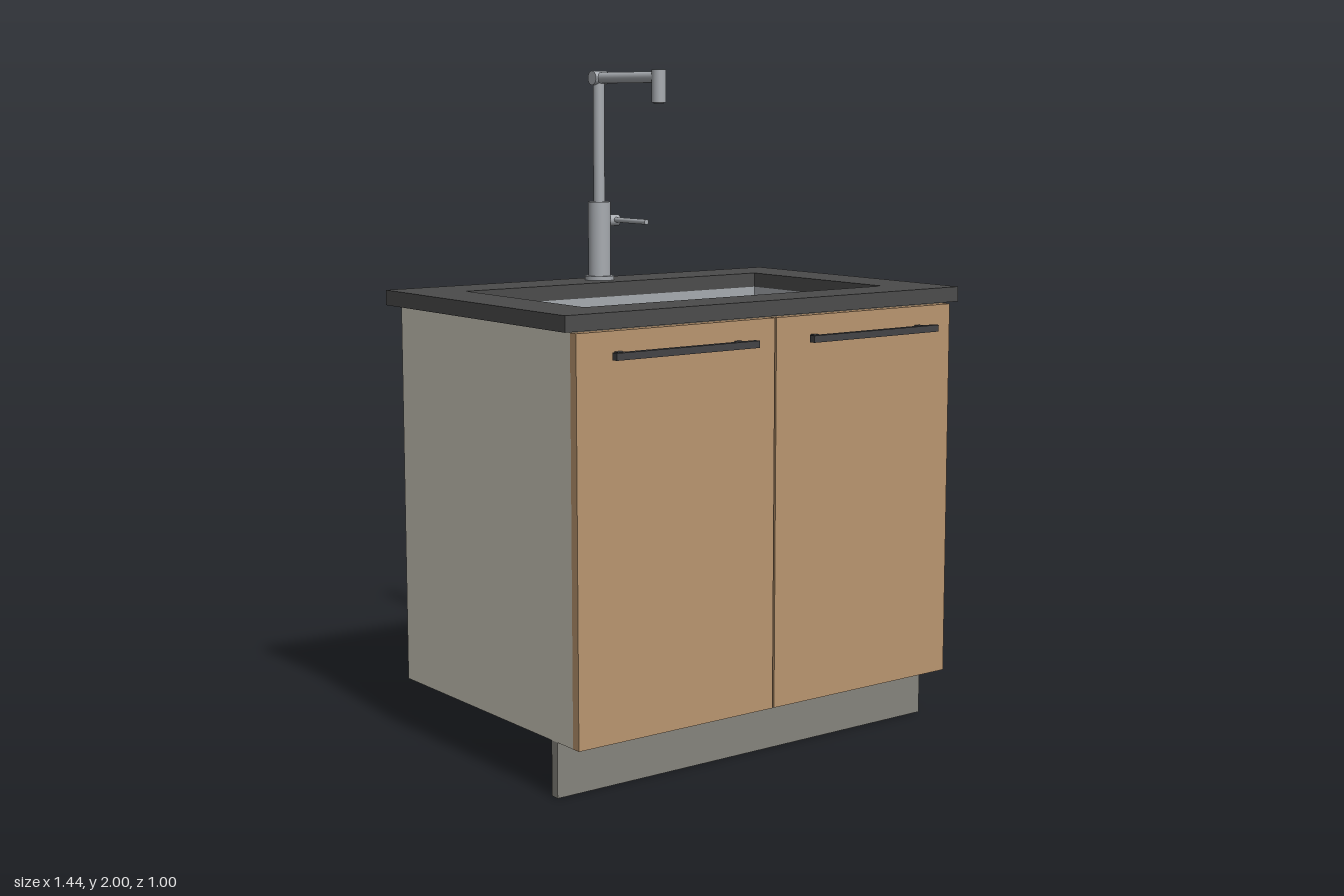
import * as THREE from 'three';

const material = (name, color) => {
  const m = new THREE.MeshStandardMaterial({ color });
  m.name = name;
  return m;
};

export function createModel() {
  const group = new THREE.Group();
  const wood = material('wood', 0xb9956f);
  const cabinet = material('cabinet cream', 0xcdc9bc);
  const grey = material('warm grey', 0x85837c);
  const dark = material('dark worktop', 0x4b4b4b);
  const handleDark = material('handle charcoal', 0x434345);
  const steel = material('steel', 0xa6aaaf);

  const add = (parent, name, geometry, mat, x = 0, y = 0, z = 0) => {
    const mesh = new THREE.Mesh(geometry, mat);
    mesh.name = name;
    mesh.position.set(x, y, z);
    parent.add(mesh);
    return mesh;
  };
  // Box given by its limits on each axis
  const box = (parent, name, mat, x0, x1, y0, y1, z0, z1) =>
    add(parent, name, new THREE.BoxGeometry(x1 - x0, y1 - y0, z1 - z0), mat,
      (x0 + x1) / 2, (y0 + y1) / 2, (z0 + z1) / 2);
  // Rectangular frame lying flat; outer and inner are [half width, back z, front z]
  const frame = (parent, name, mat, outer, inner, y0, y1) => {
    const corners = ([w, b, f]) => [[-w, b], [w, b], [w, f], [-w, f]].map(p => new THREE.Vector2(...p));
    const shape = new THREE.Shape(corners(outer));
    shape.holes.push(new THREE.Path(corners(inner)));
    const geometry = new THREE.ExtrudeGeometry(shape, { depth: y1 - y0, bevelEnabled: false });
    geometry.rotateX(Math.PI / 2);
    return add(parent, name, geometry, mat, 0, y1, 0);
  };
  // Cylinder between two points
  const rod = (parent, name, mat, radius, from, to, sides = 24) => {
    const a = new THREE.Vector3(...from), b = new THREE.Vector3(...to);
    const dir = b.clone().sub(a);
    const mesh = add(parent, name, new THREE.CylinderGeometry(radius, radius, dir.length(), sides), mat);
    mesh.position.copy(a).add(b).multiplyScalar(0.5);
    mesh.quaternion.setFromUnitVectors(new THREE.Vector3(0, 1, 0), dir.normalize());
    return mesh;
  };

  // Cabinet body, open at the top for the basin
  frame(group, 'cabinetWalls', cabinet, [0.685, -0.47, 0.42], [0.665, -0.45, 0.4], 0.16, 1.305);
  box(group, 'cabinetFloor', cabinet, -0.665, 0.665, 0.16, 0.18, -0.45, 0.4);
  box(group, 'plinth', grey, -0.685, 0.685, 0, 0.16, 0.315, 0.343);

  // Doors with bar handles
  for (const s of [-1, 1]) {
    const door = new THREE.Group();
    door.name = s > 0 ? 'leftDoor' : 'rightDoor';
    group.add(door);
    const span = (a, b) => s > 0 ? [a, b] : [-b, -a];
    box(door, 'doorPanel', wood, ...span(0.003, 0.685), 0.16, 1.3, 0.42, 0.448);
    box(door, 'handleBar', handleDark, ...span(0.1, 0.59), 1.226, 1.246, 0.48, 0.5);
    for (const x of [0.14, 0.55])
      box(door, 'handlePost', handleDark, ...span(x - 0.01, x + 0.01), 1.228, 1.244, 0.448, 0.48);
  }

  // Worktop with the sink cut-out
  const opening = [0.55, -0.32, 0.29];
  frame(group, 'worktop', dark, [0.72, -0.5, 0.448], opening, 1.305, 1.35);

  // Basin: walls, floor and drain
  const sink = new THREE.Group();
  sink.name = 'sink';
  group.add(sink);
  const floorY = 0.95;
  frame(sink, 'basinWalls', steel, [0.56, -0.33, 0.3], opening, floorY, 1.305);
  box(sink, 'basinFloor', steel, -0.56, 0.56, floorY - 0.01, floorY, -0.33, 0.3);
  rod(sink, 'drainRing', grey, 0.07, [0, floorY, -0.015], [0, floorY + 0.008, -0.015], 32);
  rod(sink, 'drainHole', dark, 0.045, [0, floorY, -0.015], [0, floorY + 0.012, -0.015], 32);

  // Tap: column, swing arm, spout and lever
  const tap = new THREE.Group();
  tap.name = 'tap';
  group.add(tap);
  const z = -0.418;
  rod(tap, 'tapFlange', steel, 0.046, [0, 1.35, z], [0, 1.363, z], 32);
  rod(tap, 'tapBody', steel, 0.035, [0, 1.363, z], [0, 1.595, z], 32);
  rod(tap, 'tapColumn', steel, 0.018, [0, 1.595, z], [0, 1.978, z]);
  rod(tap, 'tapElbow', steel, 0.022, [-0.025, 1.978, z], [0.025, 1.978, z]);
  rod(tap, 'tapArm', steel, 0.017, [0, 1.978, z], [0, 1.978, -0.104]);
  rod(tap, 'tapSpout', steel, 0.022, [0, 1.902, -0.104], [0, 2, -0.104]);
  rod(tap, 'tapNozzle', dark, 0.016, [0, 1.9, -0.104], [0, 1.905, -0.104]);
  rod(tap, 'leverHub', steel, 0.018, [0.02, 1.535, z], [0.07, 1.535, z]);
  rod(tap, 'lever', steel, 0.008, [0.053, 1.537, z], [0.053, 1.537, -0.24], 16);

  return group;
}
